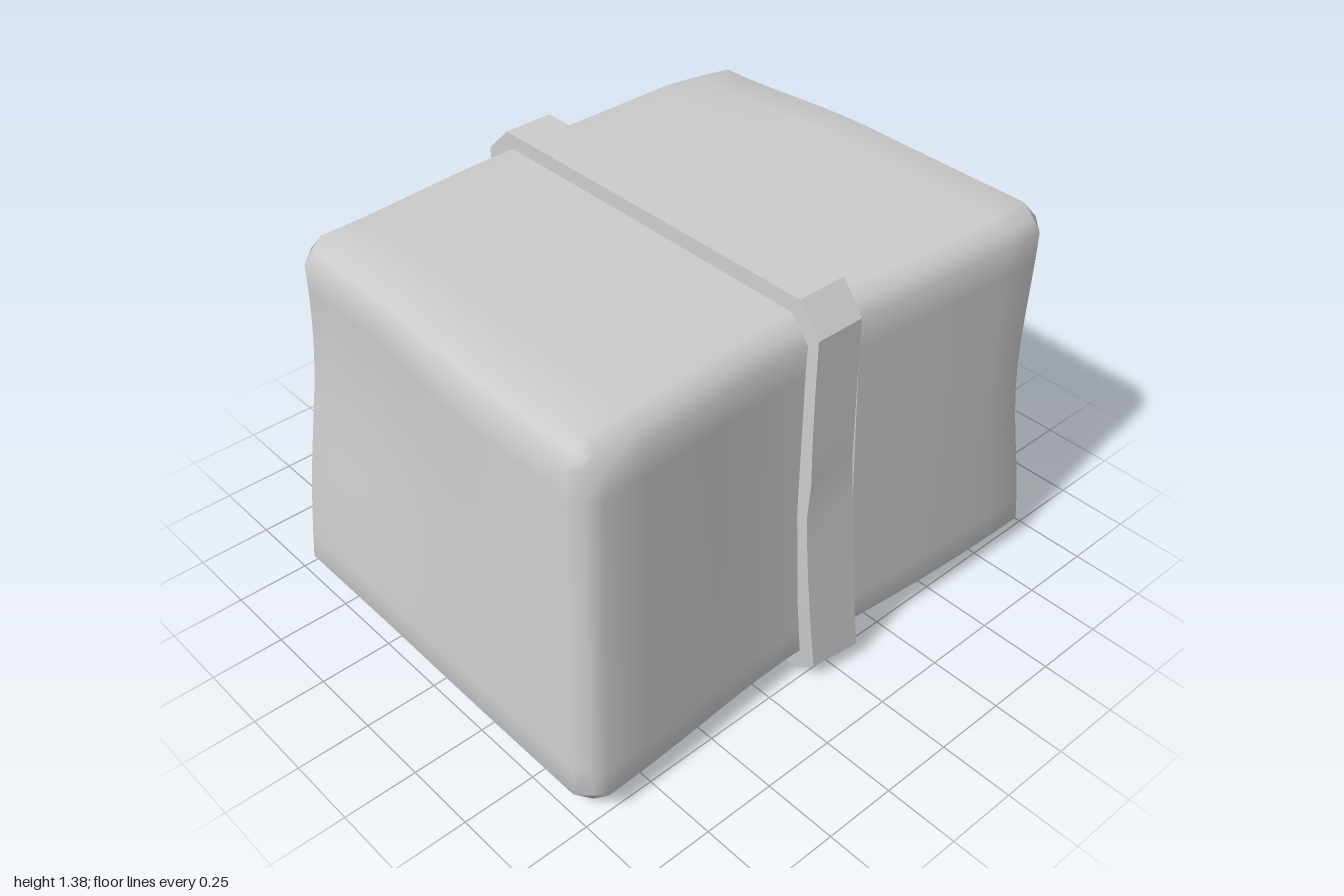
import * as THREE from 'three';
import { mergeVertices, toCreasedNormals } from 'three/addons/utils/BufferGeometryUtils.js';

const material = new THREE.MeshStandardMaterial({ color: 0xcccccc });
const bump = (t, centre, width) => Math.exp(-(((t - centre) / width) ** 2));
const smooth = THREE.MathUtils.smoothstep;

// Chamfered box whose grid has one narrow ring of faces along every edge
function chamferedBox(hx, hy, hz, r, n) {
  const geo = new THREE.BoxGeometry(2, 2, 2, n, n, n);
  const pos = geo.attributes.position;
  const half = [hx, hy, hz];
  const edge = 1 - 2 / n;
  for (let i = 0; i < pos.count; i++) {
    const p = [pos.getX(i), pos.getY(i), pos.getZ(i)];
    const inner = p.map((c, k) => THREE.MathUtils.clamp(c / edge, -1, 1) * (half[k] - r));
    const out = p.map((c) => (Math.abs(c) > 0.999 ? Math.sign(c) : 0));
    const sum = out.reduce((s, c) => s + Math.abs(c), 0);
    pos.setXYZ(i, ...inner.map((c, k) => c + (r * out[k]) / sum));
  }
  geo.deleteAttribute('uv');
  geo.deleteAttribute('normal');
  return mergeVertices(geo);
}

// Soft load: tapers upward, with dents pressed into its sides
function createBody() {
  const geo = chamferedBox(1, 0.655, 0.775, 0.075, 14);
  const pos = geo.attributes.position;
  for (let i = 0; i < pos.count; i++) {
    const u = pos.getX(i);
    const v = (pos.getY(i) + 0.655) / 1.31;
    const w = pos.getZ(i) / 0.775;
    let x = u * (1 - 0.06 * v);
    let y = 0.013 + 1.31 * v;
    let z = w * (0.775 - 0.045 * v) + 0.015;
    // dent in the left face near the front, and in the right face near the back
    const leftDent = 0.075 * bump(v, 0.55, 0.32) * smooth(w, -0.5, 1);
    const rightDent = 0.055 * bump(v, 0.7, 0.4) * smooth(-w, -0.4, 0.5);
    x -= leftDent * smooth(u, 0.4, 1);
    x += rightDent * smooth(-u, 0.4, 1);
    // the strap squeezes the front, the rear right top corner is pulled in
    z -= smooth(w, 0.2, 1) * (0.05 * bump(u, -0.15, 0.5) + 0.02 * (1 - u) * 0.5);
    z += 0.04 * smooth(-w, 0.3, 1) * smooth(-u, 0.1, 0.9) * smooth(v, 0.3, 1);
    // sagging rear left top edge
    y -= 0.04 * smooth(u, 0.6, 1) * smooth(-w, 0, 0.9) * smooth(v, 0.6, 1);
    pos.setXYZ(i, x, y, z);
  }
  geo.computeVertexNormals();
  const mesh = new THREE.Mesh(geo, material);
  mesh.name = 'body';
  return mesh;
}

// Strap: a slab following the outline of the load, bowed sideways at the front
function createStrap() {
  const corners = [
    [0.73, 0], [0.8, 0.06], [0.725, 1.28], [0.64, 1.375],
    [-0.67, 1.375], [-0.765, 1.28], [-0.81, 0.07], [-0.74, 0],
  ];
  const outline = [];
  corners.forEach(([z, y], i) => {
    const [z2, y2] = corners[(i + 1) % corners.length];
    const steps = Math.abs(y2 - y) > 1 ? 10 : 1;
    for (let s = 0; s < steps; s++) {
      const t = s / steps;
      outline.push(new THREE.Vector2(-(z + (z2 - z) * t), y + (y2 - y) * t));
    }
  });
  const geo = new THREE.ExtrudeGeometry(new THREE.Shape(outline), { depth: 0.175, bevelEnabled: false });
  geo.rotateY(Math.PI / 2);
  geo.translate(-0.09, 0, 0);
  const pos = geo.attributes.position;
  for (let i = 0; i < pos.count; i++) {
    const y = pos.getY(i);
    const z = pos.getZ(i);
    const bow = Math.sin(Math.PI * THREE.MathUtils.clamp(y / 1.375, 0, 1));
    if (z > 0) pos.setX(i, pos.getX(i) - 0.035 * bow);
    if (z > 0.7 && y < 0.7) pos.setZ(i, z + pos.getX(i) * 0.12);
  }
  const mesh = new THREE.Mesh(toCreasedNormals(geo, 0.4), material);
  mesh.name = 'strap';
  return mesh;
}

export function createModel() {
  const group = new THREE.Group();
  group.name = 'strappedBundle';
  group.add(createBody(), createStrap());
  return group;
}
